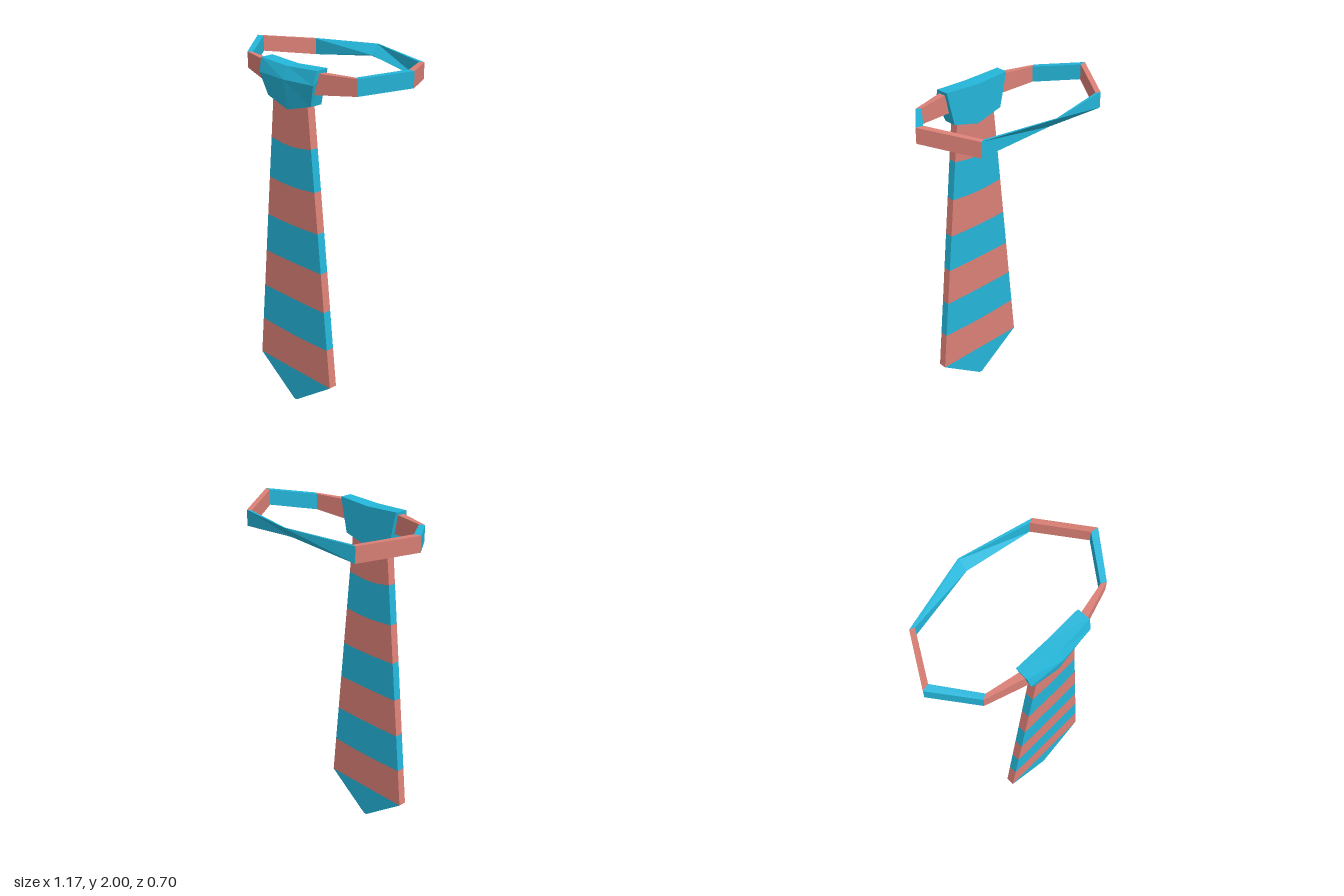
import * as THREE from 'three';

// Skin a series of closed cross-sections (each runs anticlockwise as seen from the path's far end)
function loft(sections, caps) {
  const pos = [];
  const tri = (a, b, c) => pos.push(...a, ...b, ...c);
  const n = sections[0].length;
  for (let i = 0; i < sections.length - 1; i++) {
    const s = sections[i], t = sections[i + 1];
    for (let j = 0; j < n; j++) {
      const k = (j + 1) % n;
      tri(s[j], s[k], t[k]);
      tri(s[j], t[k], t[j]);
    }
  }
  if (caps) {
    const first = sections[0], last = sections[sections.length - 1];
    for (let j = 1; j < n - 1; j++) {
      tri(first[0], first[j + 1], first[j]);
      tri(last[0], last[j], last[j + 1]);
    }
  }
  const geo = new THREE.BufferGeometry();
  geo.setAttribute('position', new THREE.Float32BufferAttribute(pos, 3));
  geo.computeVertexNormals();
  return geo;
}

const mirrorX = (section) => section.map(([x, y, z]) => [-x, y, z]);

export function createModel() {
  const blue = new THREE.MeshStandardMaterial({ color: 0x24b6da });
  blue.name = 'blue cloth';
  const pink = new THREE.MeshStandardMaterial({ color: 0xdb8076 });
  pink.name = 'pink cloth';

  const model = new THREE.Group();
  model.name = 'necktie';
  const add = (parent, name, geo, mat) => {
    const mesh = new THREE.Mesh(geo, mat);
    mesh.name = name;
    parent.add(mesh);
  };

  // Blade: stacked slabs in alternating colours, with seams that sag slightly in the middle
  const blade = new THREE.Group();
  blade.name = 'blade';
  model.add(blade);
  const slab = (name, points, mat) => {
    const shape = new THREE.Shape(points.map(([x, y]) => new THREE.Vector2(x, y)));
    const geo = new THREE.ExtrudeGeometry(shape, { depth: 0.048, bevelEnabled: false });
    geo.translate(0, 0, 0.256);
    add(blade, name, geo, mat);
  };
  const halfWidth = (y) => 0.288 - (y - 0.2) * 0.0995;
  const seams = [[0.2, 0], [0.432, 0.008], [0.657, 0.003], [0.882, 0.003],
    [1.107, 0.006], [1.335, 0.012], [1.563, 0.017], [1.86, 0]];
  const seam = ([y, sag]) => {
    const w = halfWidth(y);
    return [[-w, y], [-w * 0.4, y - sag * 0.8], [0, y - sag], [w * 0.4, y - sag * 0.8], [w, y]];
  };
  slab('bladeTip', [[-0.01, 0], [0.01, 0], [0.288, 0.2], [-0.288, 0.2]], blue);
  for (let i = 0; i < seams.length - 1; i++) {
    slab('bladeStripe' + (i + 1), [...seam(seams[i]), ...seam(seams[i + 1]).reverse()], i % 2 ? blue : pink);
  }

  // Knot: wide top, bulging front and a pointed lower edge
  const knotSide = [[0.207, 1.987, 0.238], [0.21, 1.985, 0.312], [0.202, 1.912, 0.332],
    [0.162, 1.793, 0.312], [0.162, 1.793, 0.238]];
  const knotMiddle = [[0, 1.975, 0.238], [0, 1.975, 0.32], [0, 1.91, 0.348],
    [0, 1.75, 0.325], [0, 1.75, 0.238]];
  add(model, 'knot', loft([mirrorX(knotSide), knotMiddle, knotSide], true), blue);

  // Neck strap: cross-sections run inner top, outer top, outer bottom, inner bottom
  const upright = (ox, oz, ix, iz, y0, y1) =>
    [[ix, y1, iz], [ox, y1, oz], [ox, y0, oz], [ix, y0, iz]];
  const half = [
    upright(0.16, 0.312, 0.15, 0.268, 1.855, 1.968),
    upright(0.413, 0.235, 0.385, 0.22, 1.88, 1.968),
    upright(0.583, 0.018, 0.542, 0.01, 1.915, 2.0),
    upright(0.412, -0.256, 0.385, -0.245, 1.88, 1.968),
  ];
  // The strap twists to lean outwards at the nape
  const nape = [[0, 1.985, -0.343], [0, 1.985, -0.35], [0, 1.926, -0.3], [0, 1.932, -0.294]];
  const path = [...half, nape, ...half.map(mirrorX).reverse()];
  const strap = new THREE.Group();
  strap.name = 'neckStrap';
  model.add(strap);
  const colours = [pink, blue, pink, blue, blue, pink, blue, pink];
  colours.forEach((mat, i) => add(strap, 'strapSection' + (i + 1), loft([path[i], path[i + 1]], false), mat));

  return model;
}
